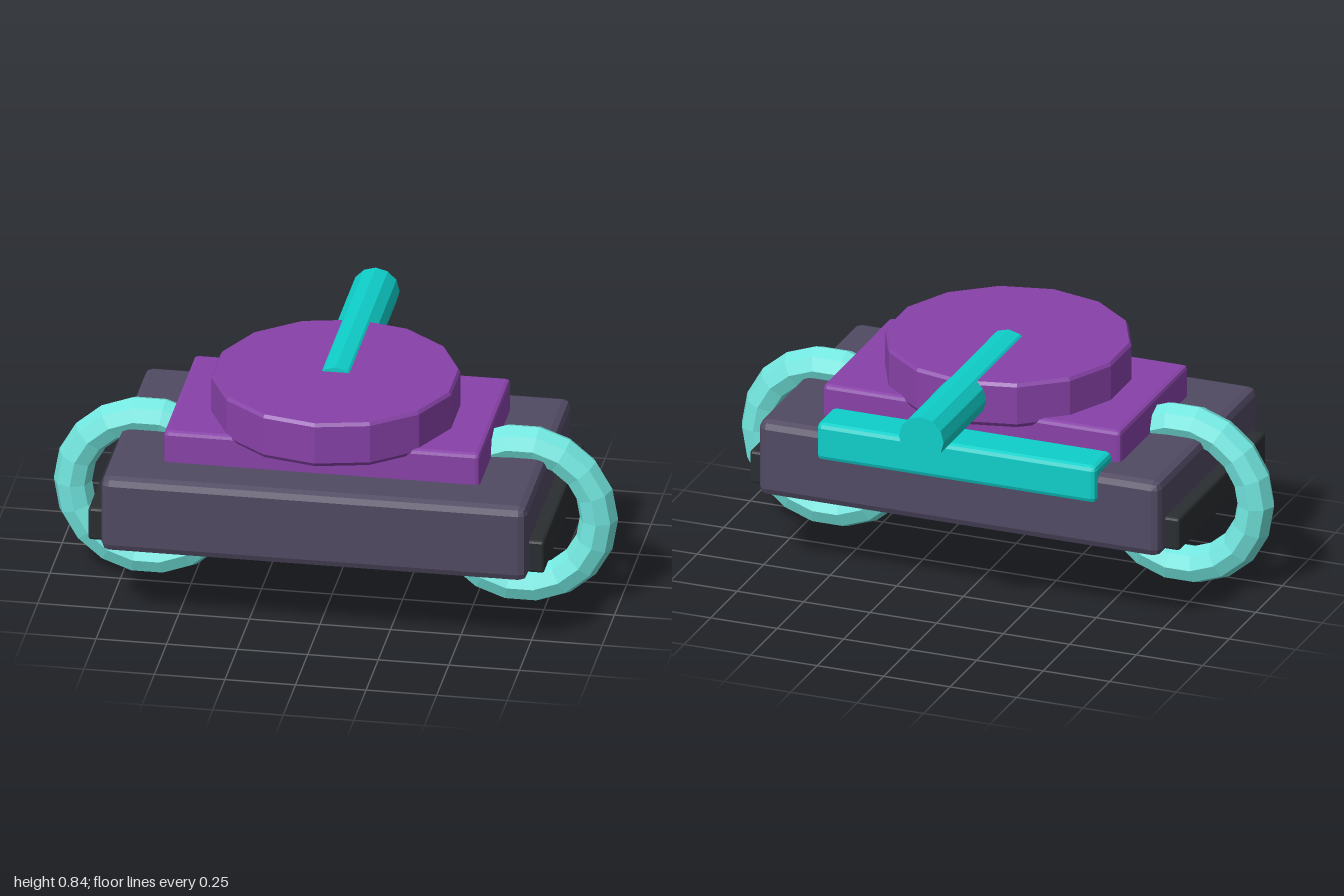
import * as THREE from 'three';
import { RoundedBoxGeometry } from 'three/addons/geometries/RoundedBoxGeometry.js';

export function createModel() {
  const model = new THREE.Group();
  const mat = (color) => new THREE.MeshStandardMaterial({ color, flatShading: true });
  const hullMat = mat(0x514a63);
  const purple = mat(0x8842a8);
  const teal = mat(0x0fcfca);
  const aqua = mat(0x72e6df);
  const dark = mat(0x2a2e30);

  const add = (name, geometry, material, x, y, z) => {
    const mesh = new THREE.Mesh(geometry, material);
    mesh.name = name;
    mesh.position.set(x, y, z);
    model.add(mesh);
    return mesh;
  };

  // Box with softened edges, given by its limits along y and z
  const block = (name, material, width, y0, y1, z0, z1, bevel, x = 0) =>
    add(name, new RoundedBoxGeometry(width, y1 - y0, z1 - z0, 1, bevel),
      material, x, (y0 + y1) / 2, (z0 + z1) / 2);

  // Stacked body
  block('hull', hullMat, 1.51, 0.29, 0.575, -0.3, 0.64, 0.03);
  block('upperDeck', purple, 1.12, 0.54, 0.692, -0.172, 0.468, 0.015);
  block('rearBar', teal, 1.05, 0.47, 0.61, -0.32, -0.1, 0.018);

  // Fourteen-sided turret with a thin bevelled rim
  const turretProfile = [[0, 0.665], [0.425, 0.665], [0.436, 0.68], [0.436, 0.82], [0.428, 0.832], [0, 0.832]]
    .map(([r, y]) => new THREE.Vector2(r, y));
  add('turret', new THREE.LatheGeometry(turretProfile, 14), purple, 0, 0, 0.175);

  // Barrel pointing backwards, half sunk into the turret
  const barrel = new THREE.CylinderGeometry(0.084, 0.084, 0.825, 12);
  barrel.rotateX(Math.PI / 2);
  add('barrel', barrel, teal, 0, 0.766, -0.2325);

  // Side strips and rings, mirrored
  for (const [side, label] of [[1, 'left'], [-1, 'right']]) {
    block(label + 'SideStrip', dark, 0.12, 0.305, 0.428, -0.24, 0.58, 0.01, side * 0.748);
    const ring = add(label + 'Ring', new THREE.TorusGeometry(0.27, 0.068, 8, 18), aqua, side * 0.662, 0.34, 0.172);
    if (side < 0) ring.rotation.y = Math.PI;
  }

  return model;
}
